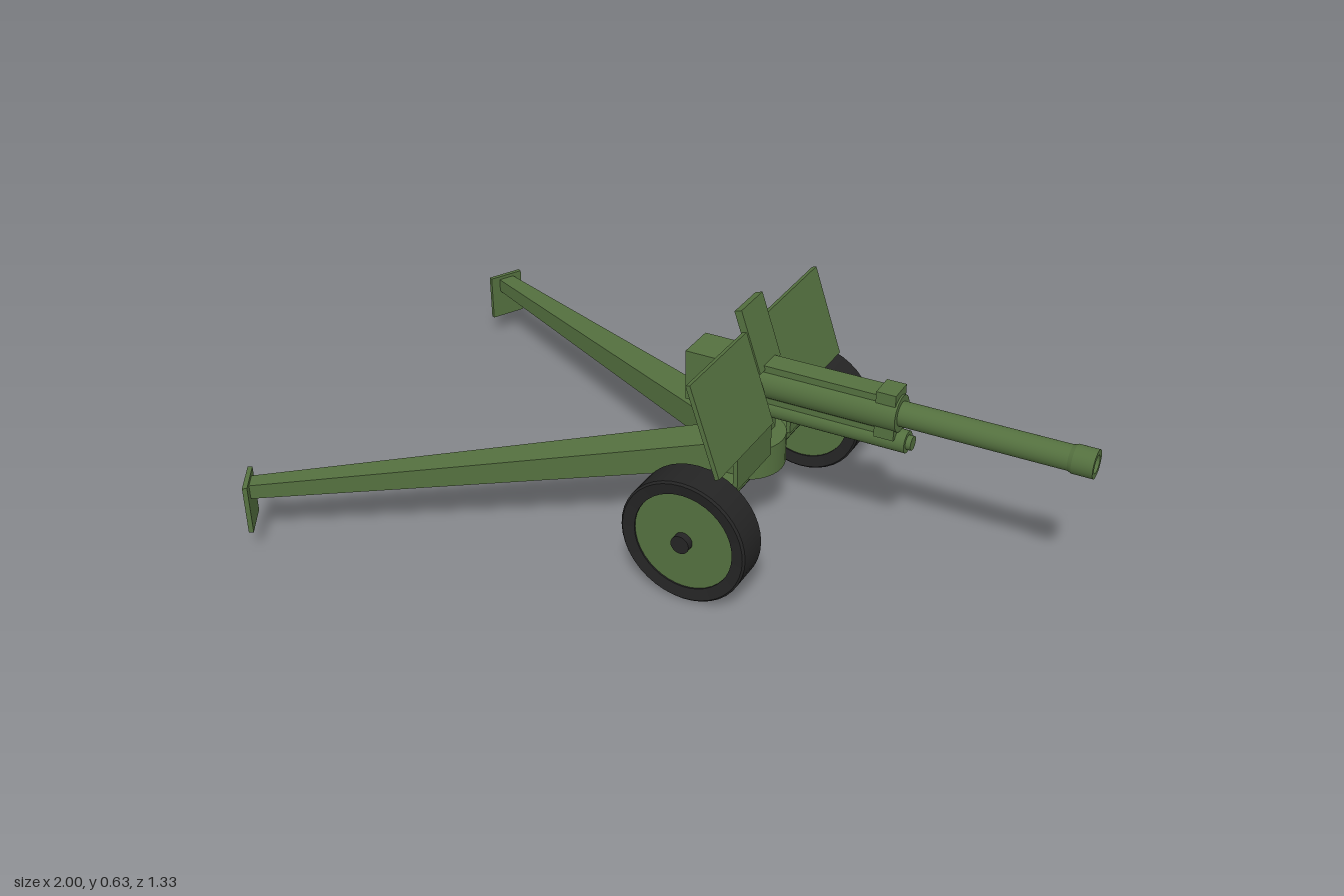
import * as THREE from 'three';

const green = new THREE.MeshStandardMaterial({ color: 0x54703f, side: THREE.DoubleSide });
const black = new THREE.MeshStandardMaterial({ color: 0x242424, side: THREE.DoubleSide });
const GZ = -0.046; // centre plane of the gun

function add(parent, name, geo, mat, x = 0, y = 0, z = 0) {
  const m = new THREE.Mesh(geo, mat);
  m.name = name;
  m.position.set(x, y, z);
  parent.add(m);
  return m;
}

// box given by its limits on each axis
function block(parent, name, x0, x1, y0, y1, z0, z1, mat = green) {
  return add(parent, name, new THREE.BoxGeometry(x1 - x0, y1 - y0, z1 - z0), mat,
    (x0 + x1) / 2, (y0 + y1) / 2, (z0 + z1) / 2);
}

// cylinder between two points
function rod(parent, name, a, b, r, mat = green, sides = 24) {
  const A = new THREE.Vector3(...a), B = new THREE.Vector3(...b);
  const d = B.clone().sub(A);
  const m = add(parent, name, new THREE.CylinderGeometry(r, r, d.length(), sides), mat);
  m.position.copy(A).add(B).multiplyScalar(0.5);
  m.quaternion.setFromUnitVectors(new THREE.Vector3(0, 1, 0), d.normalize());
  return m;
}

// lathe from separate straight bands, so edges stay sharp
function sharpLathe(parent, name, pts, mat) {
  const g = new THREE.Group();
  g.name = name;
  for (let i = 0; i + 1 < pts.length; i++) {
    const band = [pts[i], pts[i + 1]].map(p => new THREE.Vector2(...p));
    add(g, name + 'Band', new THREE.LatheGeometry(band, 40), mat);
  }
  parent.add(g);
  return g;
}

function wheel(side) {
  const g = new THREE.Group();
  g.name = 'wheel';
  const tyre = sharpLathe(g, 'tyre', [[0.13, -0.042], [0.16, -0.047], [0.165, -0.042],
    [0.165, 0.042], [0.16, 0.047], [0.13, 0.042], [0.13, -0.042]], black);
  tyre.rotation.x = Math.PI / 2;
  rod(g, 'wheelDisc', [0, 0, -0.038], [0, 0, 0.038], 0.131, green, 40);
  rod(g, 'hubCap', [0, 0, 0], [0, 0, side * 0.057], 0.024, black);
  g.position.set(0.145, 0.168, GZ + side * 0.333);
  return g;
}

// tapered trail leg with a spade plate at its far end
function trail(hinge, end) {
  const g = new THREE.Group();
  g.name = 'trail';
  const dx = end[0] - hinge[0], dz = end[1] - hinge[1], len = Math.hypot(dx, dz);
  const geo = new THREE.BoxGeometry(1, 1, 1);
  const p = geo.attributes.position;
  for (let i = 0; i < p.count; i++) {
    const t = p.getX(i) + 0.5;
    const low = 0.187 + (0.142 - 0.187) * t, high = 0.264 + (0.18 - 0.264) * t;
    p.setXYZ(i, t * len, p.getY(i) > 0 ? high : low, p.getZ(i) * (0.1 - 0.054 * t));
  }
  geo.computeVertexNormals();
  add(g, 'trailBeam', geo, green);
  block(g, 'spade', len - 0.006, len + 0.006, 0.06, 0.19, -0.05, 0.05);
  g.position.set(hinge[0], 0, hinge[1]);
  g.rotation.y = Math.atan2(-dz, dx);
  return g;
}

function shield() {
  const g = new THREE.Group();
  g.name = 'shield';
  const upper = new THREE.Group();
  upper.name = 'slopedShield';
  upper.position.set(0.218, 0.345, GZ);
  upper.rotation.z = 0.32;
  for (const s of [-1, 1]) {
    const zs = [s * 0.055, s * 0.342].sort((a, b) => a - b);
    block(upper, 'shieldWing', -0.006, 0.006, 0, 0.242, ...zs);
    const zl = [GZ + s * 0.055, GZ + s * 0.238].sort((a, b) => a - b);
    block(g, 'shieldSkirt', 0.207, 0.219, 0.255, 0.347, ...zl);
  }
  block(upper, 'shieldCentre', -0.01, 0.01, 0.13, 0.298, -0.056, 0.056);
  g.add(upper);
  return g;
}

function gun() {
  const g = new THREE.Group();
  g.name = 'gun';
  // barrel with a thicker muzzle and a hollow bore
  const barrel = sharpLathe(g, 'barrel', [[0.031, 0.15], [0.031, 0.94], [0.035, 0.95],
    [0.035, 1], [0.022, 1], [0.022, 0.85], [0, 0.85]], green);
  barrel.rotation.z = -Math.PI / 2;
  barrel.position.set(0, 0.43, GZ);
  block(g, 'breech', -0.02, 0.17, 0.345, 0.48, GZ - 0.055, GZ + 0.05);
  rod(g, 'barrelSleeve', [0.15, 0.43, GZ], [0.53, 0.43, GZ], 0.046, green, 32);
  block(g, 'sleeveTop', 0.15, 0.5, 0.45, 0.482, GZ - 0.03, GZ + 0.03);
  block(g, 'cradle', 0.1, 0.52, 0.345, 0.4, GZ - 0.022, GZ + 0.022);
  rod(g, 'recoilCylinder', [0.1, 0.357, GZ], [0.55, 0.357, GZ], 0.028);
  rod(g, 'recoilCap', [0.55, 0.357, GZ], [0.563, 0.357, GZ], 0.018);
  block(g, 'clampTop', 0.475, 0.525, 0.42, 0.492, GZ - 0.033, GZ + 0.033);
  block(g, 'clampBottom', 0.475, 0.525, 0.37, 0.41, GZ - 0.034, GZ + 0.034);
  return g;
}

function carriage() {
  const g = new THREE.Group();
  g.name = 'carriage';
  rod(g, 'axle', [0.145, 0.168, GZ - 0.39], [0.145, 0.168, GZ + 0.39], 0.018, black);
  block(g, 'axleBeam', 0.115, 0.175, 0.182, 0.198, GZ - 0.3, GZ + 0.3);
  rod(g, 'turntable', [0.125, 0.185, GZ], [0.125, 0.268, GZ], 0.1, green, 32);
  block(g, 'pivotPost', 0.06, 0.18, 0.26, 0.35, GZ - 0.05, GZ - 0.005);
  // sight and elevating handwheel beside the breech
  block(g, 'sightMount', 0.06, 0.12, 0.32, 0.35, GZ - 0.085, GZ - 0.04);
  for (const s of [-1, 1]) rod(g, 'sightPost', [0.11, 0.33, GZ + s * 0.07], [0.11, 0.42, GZ + s * 0.07], 0.008);
  rod(g, 'handwheelShaft', [0.09, 0.31, GZ - 0.07], [0.025, 0.328, GZ - 0.112], 0.008);
  rod(g, 'handwheel', [0.027, 0.327, GZ - 0.108], [0.017, 0.33, GZ - 0.114], 0.032);
  return g;
}

export function createModel() {
  const model = new THREE.Group();
  model.name = 'fieldGun';
  model.add(gun(), shield(), carriage(), wheel(1), wheel(-1));
  model.add(trail([0.08, -0.085], [-0.972, -0.62]), trail([0.08, -0.02], [-0.918, 0.618]));
  model.position.y = -0.003;
  return model;
}
